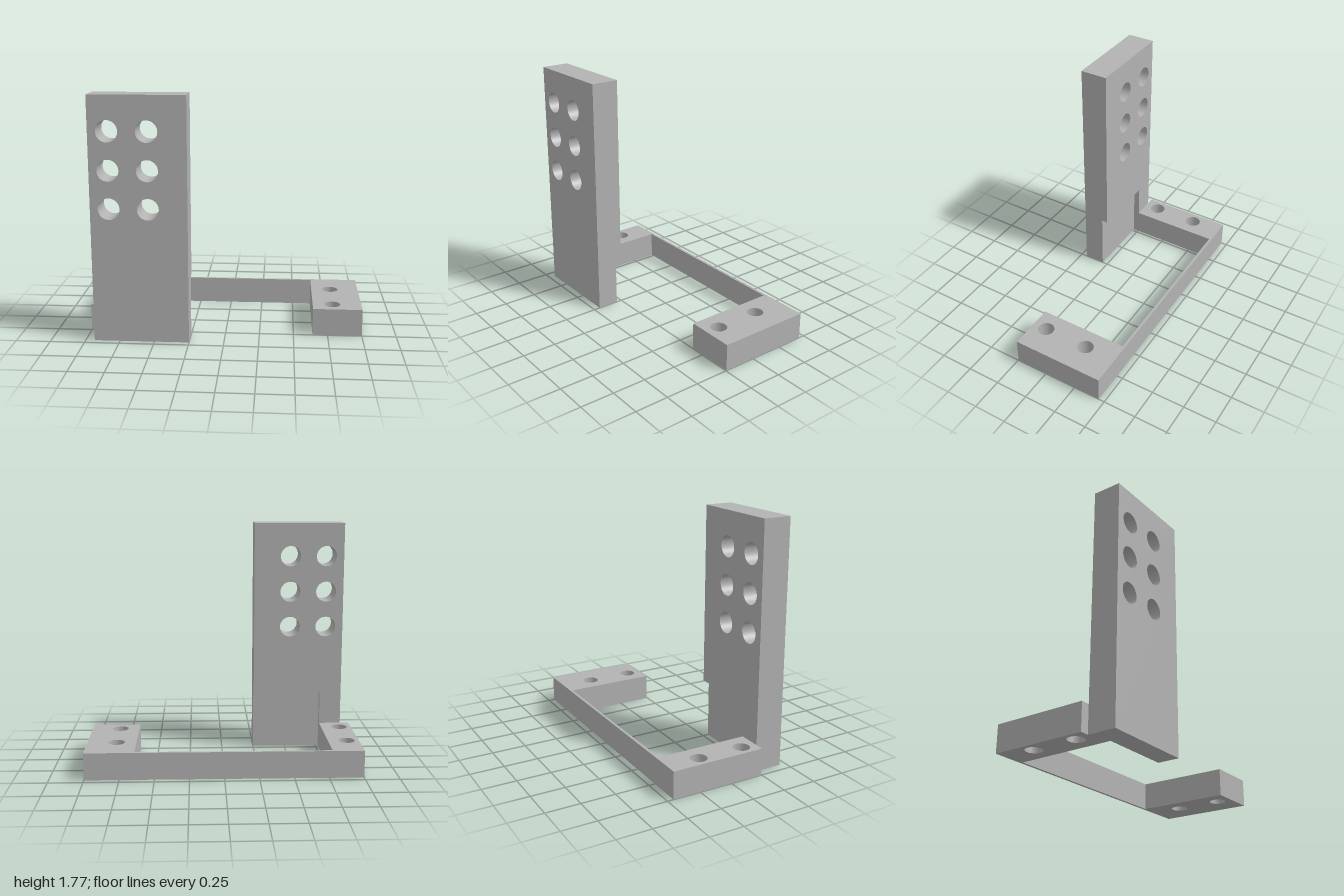
import * as THREE from 'three';

const HEIGHT = 0.2; // thickness of the base frame

function polygon(points) {
  return new THREE.Shape(points.map(([x, y]) => new THREE.Vector2(x, y)));
}

function addHoles(shape, xs, ys, radius) {
  for (const x of xs) for (const y of ys) {
    shape.holes.push(new THREE.Path().absarc(x, y, radius, 0, Math.PI * 2, true));
  }
  return shape;
}

function extrude(shape, depth) {
  return new THREE.ExtrudeGeometry(shape, { depth, bevelEnabled: false, curveSegments: 24 });
}

export function createModel() {
  const model = new THREE.Group();
  const grey = new THREE.MeshStandardMaterial({ color: 0xb2b2b2 });
  grey.name = 'plainGrey';

  const add = (name, geometry) => {
    const mesh = new THREE.Mesh(geometry, grey);
    mesh.name = name;
    model.add(mesh);
    return mesh;
  };

  // U-shaped base: two drilled arms joined by a thin rear bar (drawn in x, -z)
  const base = polygon([
    [-1, -0.245], [-0.77, -0.245], [-0.77, 0.435], [0.64, 0.435],
    [0.64, -0.245], [1, -0.245], [1, 0.455], [-1, 0.455],
  ]);
  addHoles(base, [-0.91, 0.785], [0.21, -0.135], 0.06);
  add('baseFrame', extrude(base, HEIGHT).rotateX(-Math.PI / 2));

  // Upright plate: full front layer, and a back layer with the lower recess cut out
  const holeXs = [-0.802, -0.527];
  const holeYs = [0.975, 1.247, 1.52];
  const front = polygon([[-0.935, 0], [-0.25, 0], [-0.25, 1.77], [-0.935, 1.77]]);
  const back = polygon([
    [-0.935, 0], [-0.77, 0], [-0.77, 0.45], [-0.25, 0.45], [-0.25, 1.77], [-0.935, 1.77],
  ]);
  addHoles(front, holeXs, holeYs, 0.077);
  addHoles(back, holeXs, holeYs, 0.077);
  add('uprightPlate', extrude(front, 0.16)).position.z = 0.292;
  add('uprightBackLayer', extrude(back, 0.047)).position.z = 0.245;

  return model;
}
